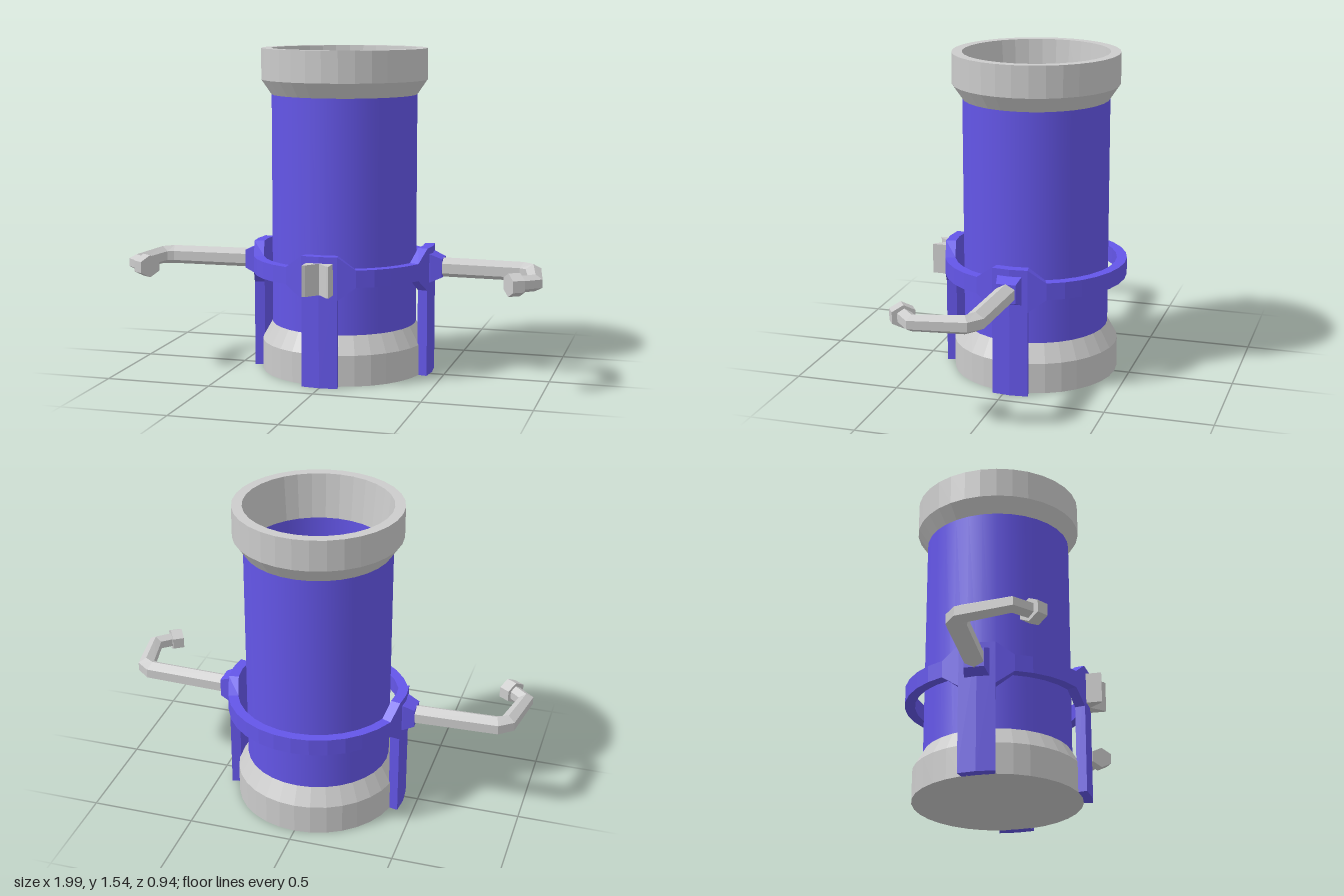
import * as THREE from 'three';

const SIDES = 32;
const AXIS_Z = -0.035;
const ARM_Y = 0.512;

const grey = new THREE.MeshStandardMaterial({ color: 0xcccccc, flatShading: true });
const blue = new THREE.MeshStandardMaterial({ color: 0x6456e8, flatShading: true });
const blueSmooth = new THREE.MeshStandardMaterial({ color: 0x6456e8 });

function add(parent, name, geometry, material) {
  const mesh = new THREE.Mesh(geometry, material);
  mesh.name = name;
  parent.add(mesh);
  return mesh;
}

function lathe(profile) {
  return new THREE.LatheGeometry(profile.map(([r, y]) => new THREE.Vector2(r, y)), SIDES);
}

// Collects triangles from quads whose corners run counter-clockwise
function quadsToGeometry(quads) {
  const pos = [];
  for (const [a, b, c, d] of quads) {
    for (const p of [a, b, c, a, c, d]) pos.push(...p);
  }
  const g = new THREE.BufferGeometry();
  g.setAttribute('position', new THREE.Float32BufferAttribute(pos, 3));
  g.computeVertexNormals();
  return g;
}

// Faceted bar along a level path of [x, z, half width, half height], mitred at bends
function bar(path, sides, turn, mirror) {
  const pts = path.map(([x, z]) => new THREE.Vector2(x * mirror, z));
  const rings = pts.map((p, i) => {
    const before = p.clone().sub(pts[Math.max(i - 1, 0)]).normalize();
    const after = pts[Math.min(i + 1, pts.length - 1)].clone().sub(p).normalize();
    const dir = before.clone().add(after).normalize();
    const ref = i > 0 ? before : after;
    const mitre = 1 / Math.max(0.5, dir.dot(ref));
    const [, , w, h] = path[i];
    return Array.from({ length: sides }, (_, k) => {
      const a = turn + (k / sides) * Math.PI * 2;
      const u = Math.cos(a) * w * mitre;
      return [p.x - dir.y * u, ARM_Y + Math.sin(a) * h, p.y + dir.x * u];
    });
  });
  const quads = [];
  for (let i = 0; i + 1 < rings.length; i++) {
    for (let k = 0; k < sides; k++) {
      const n = (k + 1) % sides;
      quads.push([rings[i][k], rings[i + 1][k], rings[i + 1][n], rings[i][n]]);
    }
  }
  // End caps
  const first = rings[0], last = rings[rings.length - 1];
  for (let k = 1; k + 1 < sides; k += 2) {
    const n = (k + 2) % sides;
    quads.push([first[0], first[k], first[k + 1], first[n]]);
    quads.push([last[n], last[k + 1], last[k], last[0]]);
  }
  return quadsToGeometry(quads);
}

// Band around the tube that widens into a plate with a leg at the front and both sides
function harnessGeometry() {
  const inner = 0.387, outer = 0.435;
  const quads = [];
  const distance = (k) => Math.min(...[0, 8, 24, 32].map((c) => Math.abs(k - c)));
  const point = (r, k, y) => {
    const a = (k / SIDES) * Math.PI * 2;
    return [r * Math.sin(a), y, r * Math.cos(a)];
  };
  for (let k = 0; k < SIDES; k++) {
    const d = [distance(k), distance(k + 1)];
    const top = d.map((v) => (v <= 1 ? 0.61 : 0.55));
    const isLeg = d[0] <= 1 && d[1] <= 1;
    const low = d.map((v) => (isLeg ? 0 : v <= 1 ? 0.41 : 0.47));
    const [o0, o1, o2, o3] = [point(outer, k, low[0]), point(outer, k + 1, low[1]),
      point(outer, k + 1, top[1]), point(outer, k, top[0])];
    const [i0, i1, i2, i3] = [point(inner, k, low[0]), point(inner, k + 1, low[1]),
      point(inner, k + 1, top[1]), point(inner, k, top[0])];
    quads.push([o0, o1, o2, o3], [i1, i0, i3, i2], [o3, o2, i2, i3], [i0, i1, o1, o0]);
    // Exposed edges of the legs
    if (isLeg) quads.push([i0, o0, o3, i3], [o1, i1, i2, o2]);
  }
  return quadsToGeometry(quads);
}

export function createModel() {
  const model = new THREE.Group();
  model.name = 'tubeWithArms';

  // Hollow tube with flared collars
  const tube = new THREE.Group();
  tube.name = 'tube';
  tube.position.z = AXIS_Z;
  model.add(tube);
  add(tube, 'tubeOuterWall', lathe([[0.345, 0.23], [0.345, 1.32]]), blueSmooth);
  add(tube, 'tubeInnerWall', lathe([[0.323, 1.32], [0.323, 0.02]]), blueSmooth);
  add(tube, 'tubeFloor', lathe([[0.323, 0.02], [0, 0.02]]), grey);
  add(tube, 'baseCollar', lathe([[0, 0], [0.393, 0], [0.393, 0.145], [0.345, 0.23]]), grey);
  add(tube, 'topCollar',
    lathe([[0.345, 1.32], [0.393, 1.39], [0.393, 1.537], [0.345, 1.537], [0.323, 1.32]]), grey);
  add(tube, 'harness', harnessGeometry(), blue);

  // Notched block on the front plate
  const notch = new THREE.Shape([[-0.06, -0.385], [0.065, -0.385], [0.065, -0.467],
    [0.052, -0.46], [0.003, -0.402], [-0.045, -0.46], [-0.06, -0.467]]
    .map(([x, y]) => new THREE.Vector2(x, y)));
  const block = add(model, 'frontBlock',
    new THREE.ExtrudeGeometry(notch, { depth: 0.145, bevelEnabled: false }), grey);
  block.rotation.x = -Math.PI / 2;
  block.position.y = 0.435;

  // Arms, mirrored left and right
  for (const [side, m] of [['left', 1], ['right', -1]]) {
    const arm = new THREE.Group();
    arm.name = side + 'Arm';
    model.add(arm);
    const q = Math.SQRT2;
    add(arm, side + 'Socket', bar([
      [0.41, AXIS_Z, 0.06 * q, 0.068 * q], [0.435, AXIS_Z, 0.057 * q, 0.066 * q],
      [0.487, AXIS_Z, 0.046 * q, 0.044 * q],
    ], 4, Math.PI / 4, m), blue);
    add(arm, side + 'BentRod', bar([
      [0.46, AXIS_Z, 0.05, 0.046], [0.87, -0.02, 0.05, 0.045], [0.918, 0.012, 0.042, 0.043],
      [0.96, 0.237, 0.036, 0.038], [0.89, 0.3, 0.036, 0.038],
    ], 6, Math.PI / 6, m), grey);
    add(arm, side + 'RodTip', bar([
      [0.9, 0.295, 0.06, 0.053], [0.853, 0.326, 0.06, 0.053],
    ], 6, Math.PI / 6, m), grey);
  }
  return model;
}
